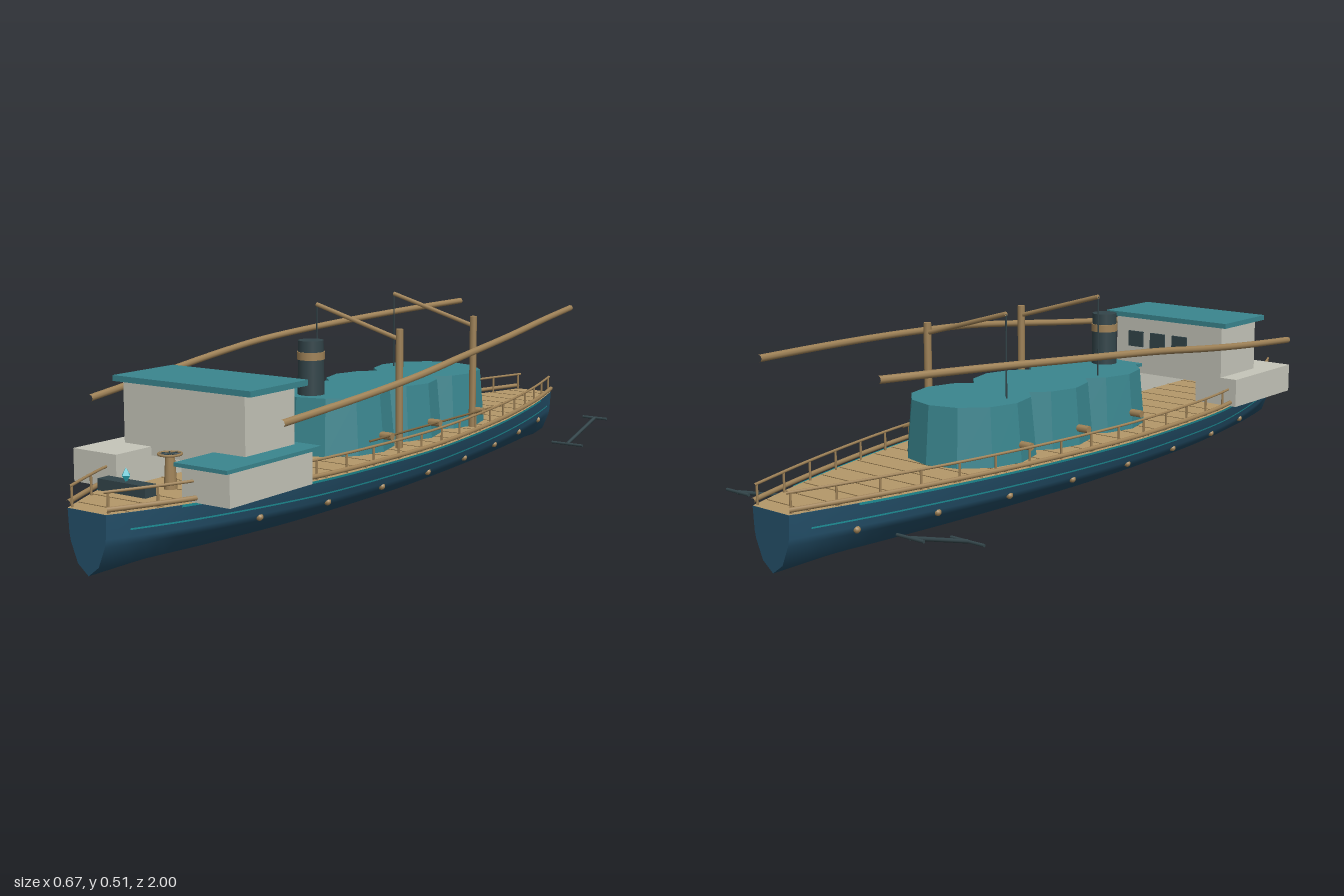
import * as THREE from 'three';

const V = (x, y, z) => new THREE.Vector3(x, y, z);

export function createModel() {
  const model = new THREE.Group();
  const mat = (name, color, opts = {}) => {
    const m = new THREE.MeshStandardMaterial({ color, ...opts });
    m.name = name;
    return m;
  };
  const navy = mat('hull blue', 0x24506a, { side: THREE.DoubleSide });
  const teal = mat('roof teal', 0x3a868f, { flatShading: true });
  const trim = mat('trim teal', 0x1f949c, { side: THREE.DoubleSide });
  const tan = mat('deck tan', 0xb4986a, { side: THREE.DoubleSide });
  const wood = mat('wood', 0xa08358);
  const seam = mat('seam brown', 0x7d6540);
  const grey = mat('wall grey', 0xc6c6ba, { flatShading: true });
  const iron = mat('dark iron', 0x33454a);
  const cyan = mat('crystal cyan', 0x2cb4c2, { flatShading: true });

  const add = (name, geo, m, x = 0, y = 0, z = 0, parent = model) => {
    const mesh = new THREE.Mesh(geo, m);
    mesh.name = name;
    mesh.position.set(x, y, z);
    parent.add(mesh);
    return mesh;
  };
  // box given by its limits on each axis
  const box = (name, m, x0, x1, y0, y1, z0, z1) =>
    add(name, new THREE.BoxGeometry(x1 - x0, y1 - y0, z1 - z0), m, (x0 + x1) / 2, (y0 + y1) / 2, (z0 + z1) / 2);
  // straight round bar between two points
  const rod = (name, m, a, b, r, sides = 8) => {
    const mesh = add(name, new THREE.CylinderGeometry(r, r, a.distanceTo(b), sides), m);
    mesh.position.copy(a).lerp(b, 0.5);
    mesh.quaternion.setFromUnitVectors(V(0, 1, 0), b.clone().sub(a).normalize());
    return mesh;
  };
  const tube = (name, m, pts, r, n = 48) =>
    add(name, new THREE.TubeGeometry(new THREE.CatmullRomCurve3(pts), n, r, 8), m);

  // half width of the deck along the length
  const plan = [[-1, 0.06], [-0.76, 0.13], [-0.45, 0.197], [-0.13, 0.24], [0.1, 0.25],
    [0.4, 0.235], [0.6, 0.199], [0.82, 0.135], [1, 0.058]];
  const planCurve = new THREE.SplineCurve(plan.map(([z, w]) => new THREE.Vector2(z, w)));
  const samples = planCurve.getPoints(160);
  const half = (z) => {
    let i = 1;
    while (i < samples.length - 1 && samples[i].x < z) i++;
    const a = samples[i - 1], b = samples[i];
    return a.y + (b.y - a.y) * (z - a.x) / (b.x - a.x);
  };
  // hull section: share of the half width, height
  const section = [[1, 0.145], [0.94, 0.09], [0.88, 0.073], [0.54, 0.026], [0, 0.002]];
  const share = (y) => {
    for (let i = 1; i < section.length; i++) {
      const [a, ya] = section[i - 1], [b, yb] = section[i];
      if (y >= yb) return a + (b - a) * (ya - y) / (ya - yb);
    }
    return 0;
  };
  // grid surface from rows of points
  const loft = (rows) => {
    const n = rows[0].length, index = [];
    for (let i = 0; i < rows.length - 1; i++) for (let j = 0; j < n - 1; j++) {
      const a = i * n + j, b = a + n;
      index.push(a, a + 1, b, b, a + 1, b + 1);
    }
    const g = new THREE.BufferGeometry().setFromPoints(rows.flat());
    g.setIndex(index);
    g.computeVertexNormals();
    return g;
  };
  const range = (a, b, n) => Array.from({ length: n + 1 }, (_, i) => a + (b - a) * i / n);

  // hull, with its outline running from left gunwale under the keel to the right
  const outline = [...section, ...section.slice(0, -1).reverse().map(([s, y]) => [-s, y])];
  add('hull', loft(range(-1, 1, 48).map((z) => outline.map(([s, y]) => V(s * half(z), y, z)))), navy);
  for (const z of [-1, 1]) {
    const shape = new THREE.Shape(outline.map(([s, y]) => new THREE.Vector2(s * half(z), y)));
    const cap = new THREE.ShapeGeometry(shape);
    if (z < 0) cap.scale(-1, 1, -1).rotateY(0);
    add('hullEnd', cap, navy, 0, 0, z);
  }

  // deck and plank seams
  const deckShape = new THREE.Shape([
    ...range(-1, 1, 48).map((z) => new THREE.Vector2(half(z), -z)),
    ...range(1, -1, 48).map((z) => new THREE.Vector2(-half(z), -z))]);
  add('deck', new THREE.ShapeGeometry(deckShape).rotateX(-Math.PI / 2), tan, 0, 0.146, 0);
  for (const z of range(-0.95, 0.95, 26)) {
    const w = half(z) - 0.005;
    box('plankSeam', seam, -w, w, 0.146, 0.1468, z - 0.0012, z + 0.0012);
  }

  for (const s of [1, -1]) {
    // painted bands on the hull side
    const band = (name, y0, y1, end) => add(name, loft(range(-end, end, 40).map((z) =>
      [y1, y0].map((y) => V(s * (half(z) * share(y) + 0.002), y, z)))), trim);
    band('gunwaleBand', 0.141, 0.147, 0.84);
    band('hullStripe', 0.106, 0.11, 0.95);
    // gunwale and upper rail with posts
    const rail = (y, inset) => range(-1, 1, 24).map((z) => V(s * (half(z) - inset), y, z));
    tube('gunwaleRail', wood, rail(0.157, 0), 0.006);
    tube('upperRail', wood, rail(0.194, 0.008), 0.0035);
    for (const z of range(-0.99, 0.99, 19)) {
      const x = s * (half(z) - 0.008);
      rod('railPost', wood, V(x, 0.146, z), V(x, 0.194, z), 0.003, 6);
    }
    // studs along the side
    for (const z of range(-0.84, 0.63, 7)) {
      add('hullStud', new THREE.SphereGeometry(0.009, 8, 6), wood, s * half(z) * share(0.083), 0.083, z);
    }
    // long curved side spar
    tube('sideSpar', wood, [V(s * 0.195, 0.437, -0.855), V(s * 0.24, 0.427, -0.6), V(s * 0.29, 0.411, -0.3),
      V(s * 0.322, 0.391, 0), V(s * 0.328, 0.37, 0.2), V(s * 0.316, 0.347, 0.42), V(s * 0.293, 0.322, 0.695)], 0.009);
    // stern anchors
    const ax = s * 0.285;
    rod('anchorShank', iron, V(ax, 0.105, -0.86), V(ax, 0.053, -0.68), 0.005);
    rod('anchorStock', iron, V(ax - 0.04, 0.105, -0.86), V(ax + 0.04, 0.105, -0.86), 0.004);
    rod('anchorArms', iron, V(ax - 0.05, 0.053, -0.68), V(ax + 0.05, 0.053, -0.68), 0.004);
    // short stubs on the deck house
    for (const z of [-0.345, -0.118, 0.112]) {
      rod('sideStub', wood, V(s * 0.14, 0.19, z), V(s * 0.193, 0.19, z), 0.01);
    }
  }
  rod('sidePipe', seam, V(0.19, 0.193, -0.4), V(0.19, 0.193, 0.21), 0.003, 6);

  // three-lobed deck house
  for (const z of [-0.35, -0.12, 0.11]) {
    add('deckHouseLobe', new THREE.CylinderGeometry(0.152, 0.165, 0.147, 12), teal, 0, 0.2205, z);
  }

  // funnel
  add('funnel', new THREE.CylinderGeometry(0.033, 0.035, 0.14, 16), iron, 0, 0.363, 0.2);
  add('funnelBand', new THREE.CylinderGeometry(0.036, 0.036, 0.02, 16), wood, 0, 0.394, 0.2);

  // derricks
  for (const z of [0.04, -0.33]) {
    rod('derrickMast', wood, V(0.165, 0.146, z), V(0.165, 0.457, z), 0.01);
    rod('derrickBoom', wood, V(0.172, 0.428, z), V(-0.1, 0.505, z), 0.006);
    rod('derrickCable', iron, V(-0.1, 0.505, z), V(-0.1, 0.295, z), 0.002, 6);
  }

  // bridge house over two side cabins
  box('bridgeWalls', grey, -0.185, 0.185, 0.204, 0.372, 0.51, 0.69);
  box('bridgeRoof', teal, -0.21, 0.21, 0.372, 0.386, 0.49, 0.7);
  box('rightCabin', grey, -0.237, -0.1, 0.146, 0.225, 0.51, 0.807);
  box('leftCabin', grey, 0.1, 0.237, 0.146, 0.225, 0.51, 0.807);
  box('leftCabinRoof', teal, 0.092, 0.245, 0.225, 0.234, 0.487, 0.825);
  for (const x of [-0.076, 0, 0.076]) {
    box('bridgeWindow', iron, x - 0.025, x + 0.025, 0.295, 0.34, 0.453, 0.459);
  }
  box('cabinWindow', iron, 0.13, 0.21, 0.185, 0.21, 0.476, 0.481);

  // steering stand with a flat wheel
  add('steeringPost', new THREE.CylinderGeometry(0.011, 0.016, 0.08, 10), wood, 0, 0.186, 0.735);
  add('steeringWheel', new THREE.TorusGeometry(0.027, 0.003, 6, 20).rotateX(Math.PI / 2), wood, 0, 0.227, 0.735);
  for (let i = 0; i < 4; i++) {
    const a = i * Math.PI / 4, dx = 0.027 * Math.cos(a), dz = 0.027 * Math.sin(a);
    rod('wheelSpoke', iron, V(-dx, 0.227, 0.735 - dz), V(dx, 0.227, 0.735 + dz), 0.002, 6);
  }

  // bow chest with its crystal
  box('bowChest', iron, -0.072, 0.072, 0.163, 0.19, 0.86, 0.895);
  add('bowCrystal', new THREE.OctahedronGeometry(0.012).scale(1, 1.5, 1), cyan, 0, 0.203, 0.878);
  return model;
}
